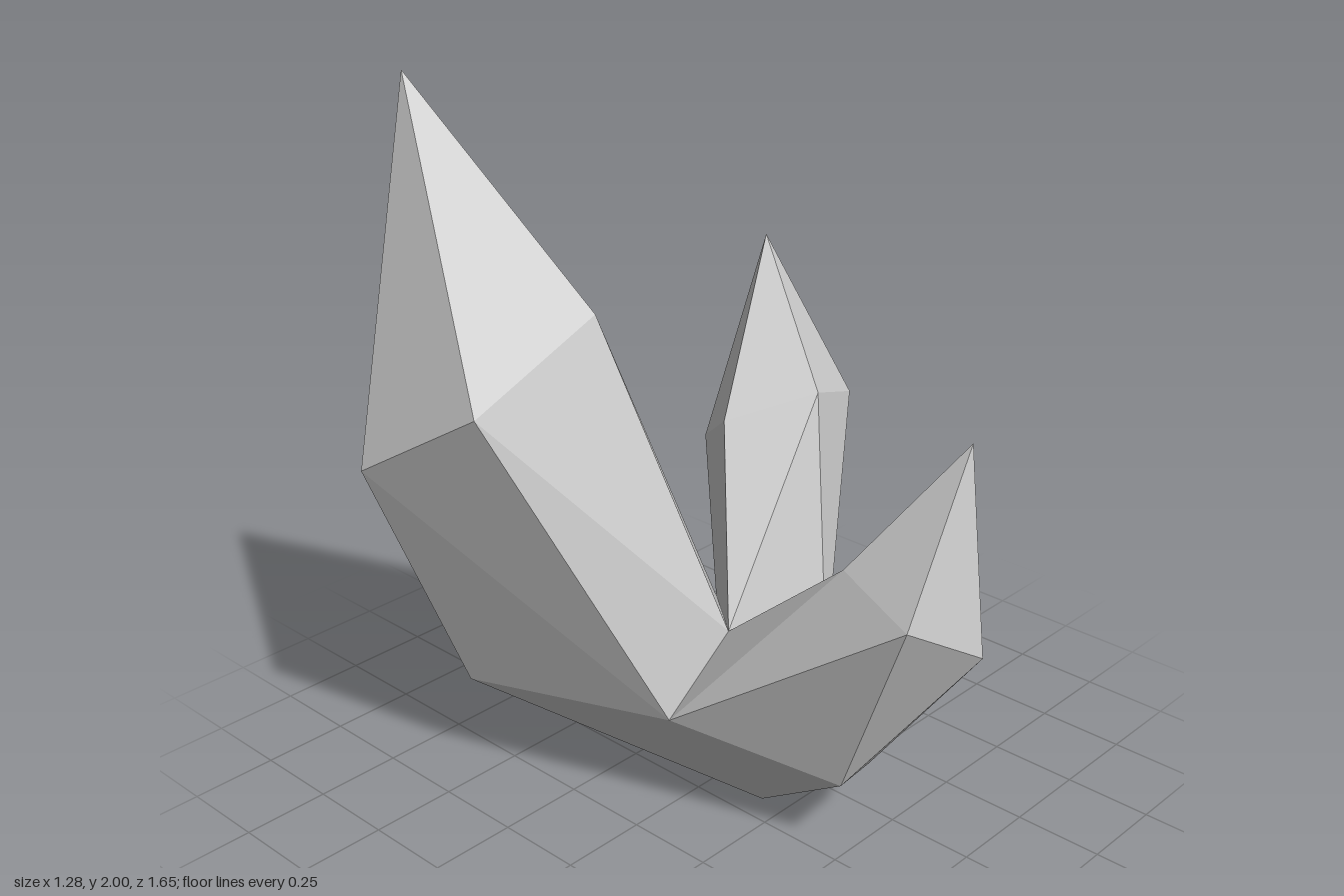
import * as THREE from 'three';

// Corners where neighbouring crystals grow together
const root = [0.08, 0, 0.17];
const crotch = [0, 0.55, 0.11];
const seamLeft = [-0.19, 0.34, 0.07];
const seamRight = [0.27, 0.4, 0.23];
const seamBack = [0.18, 0.51, -0.1];
const shared = [crotch, seamLeft, seamRight, seamBack];

// Each crystal: a tip, a five-sided shoulder and a five-sided waist turned half a step,
// all converging on the root. Waist corner i lies between shoulder corners i and i + 1.
const crystals = [
  {
    name: 'tallCrystal',
    tip: [-0.36, 2, -0.68],
    shoulder: [[-0.575, 1.25, -0.21], [-0.15, 1.41, -0.22], [0.05, 1.25, -0.59], [-0.26, 1.02, -0.825], [-0.645, 1.02, -0.59]],
    waist: [crotch, seamBack, [-0.09, 0.35, -0.53], [-0.38, 0.31, -0.52], seamLeft],
  },
  {
    name: 'sideCrystal',
    tip: [0.51, 1.47, -0.22],
    shoulder: [[0.4, 1.11, 0.07], [0.64, 1.02, -0.01], [0.61, 0.89, -0.24], [0.35, 0.89, -0.3], [0.22, 1.03, -0.11]],
    waist: [seamRight, [0.57, 0.5, -0.04], [0.41, 0.49, -0.15], seamBack, crotch],
  },
  {
    name: 'frontCrystal',
    tip: [0.175, 1.235, 0.735],
    shoulder: [[0.145, 0.69, 0.825], [0.32, 0.69, 0.64], [0.22, 0.81, 0.44], [-0.01, 0.88, 0.5], [-0.06, 0.81, 0.74]],
    waist: [[0.17, 0.21, 0.47], seamRight, crotch, seamLeft, [0, 0.24, 0.51]],
  },
];

function crystalGeometry({ tip, shoulder, waist }) {
  const corners = [];
  const n = shoulder.length;
  for (let i = 0; i < n; i++) {
    const j = (i + 1) % n;
    corners.push(tip, shoulder[i], shoulder[j]); // point
    corners.push(shoulder[i], waist[i], shoulder[j]); // sides
    corners.push(waist[i], waist[j], shoulder[j]);
    // underside, left open where another crystal adjoins
    if (!(shared.includes(waist[i]) && shared.includes(waist[j]))) corners.push(root, waist[j], waist[i]);
  }
  const geometry = new THREE.BufferGeometry();
  geometry.setAttribute('position', new THREE.Float32BufferAttribute(corners.flat(), 3));
  geometry.computeVertexNormals();
  return geometry;
}

export function createModel() {
  const group = new THREE.Group();
  group.name = 'crystalCluster';
  const material = new THREE.MeshStandardMaterial({ color: 0xcccccc, flatShading: true });
  for (const crystal of crystals) {
    const mesh = new THREE.Mesh(crystalGeometry(crystal), material);
    mesh.name = crystal.name;
    group.add(mesh);
  }
  return group;
}
